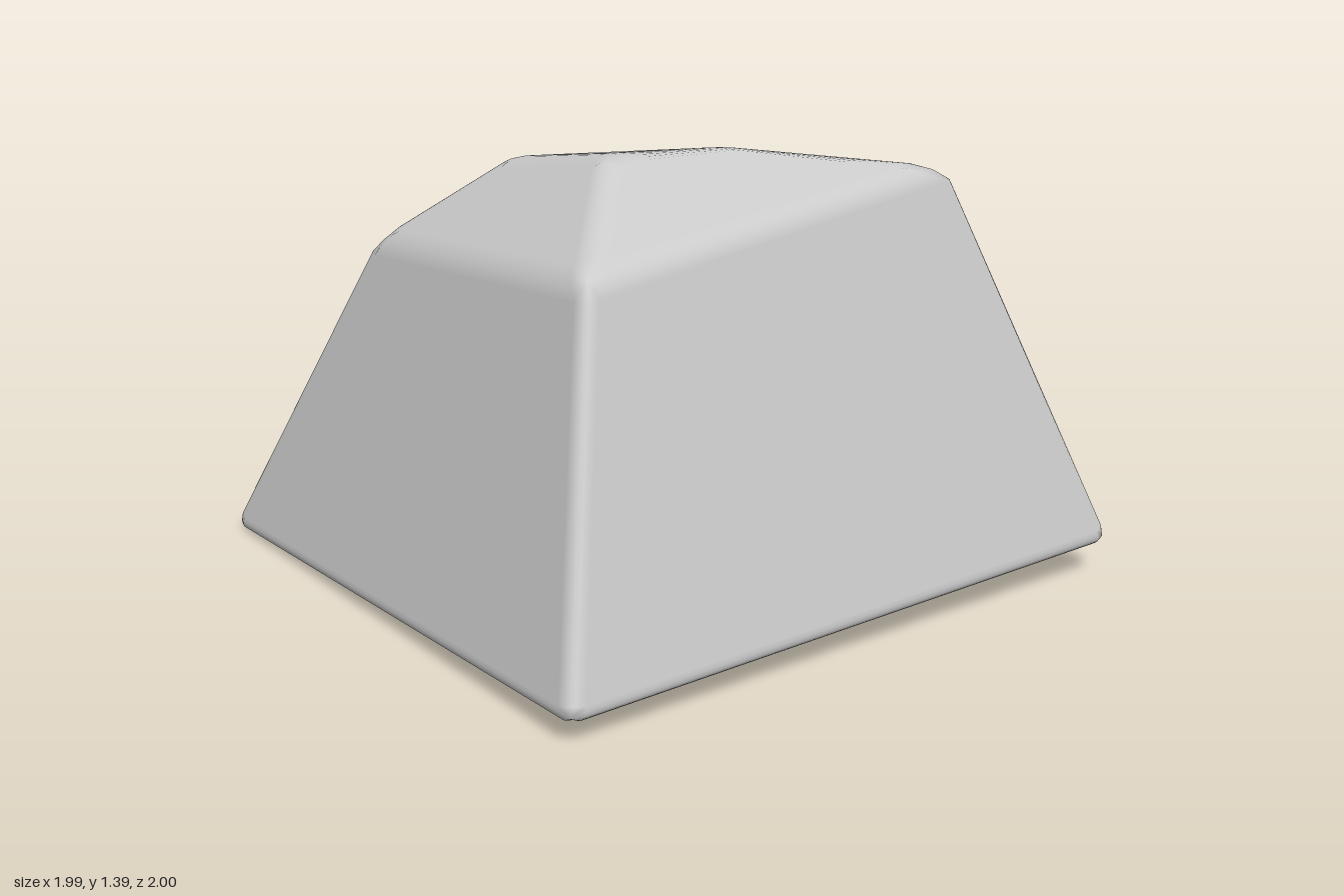
import * as THREE from 'three';

const V = (x, y, z) => new THREE.Vector3(x, y, z);

// Three rings of corners (base, shoulder, crown), each: front -x, front +x, back +x, back -x
const corners = [
  V(-0.978, 0.07, 0.93), V(1.01, 0.11, 1.014), V(0.952, 0.015, -1.005), V(-1.008, -0.003, -1.014),
  V(-0.793, 1.168, 0.757), V(0.632, 1.28, 0.603), V(0.365, 0.873, -0.502), V(-0.73, 1.045, -0.45),
  V(-0.46, 1.403, 0.39), V(0.0, 1.363, 0.335), V(0.0, 1.268, -0.09), V(-0.463, 1.32, -0.11),
];
const WIDTH = 0.05; // bevel width
const STEPS = 6; // bevel segments

// Quads wound outwards: underside, two bands of sides, crown
function makeFaces() {
  const loops = [[3, 2, 1, 0], [8, 9, 10, 11]];
  for (let r = 0; r < 8; r += 4) {
    for (let i = 0; i < 4; i++) {
      const j = (i + 1) % 4;
      loops.push([r + i, r + j, r + 4 + j, r + 4 + i]);
    }
  }
  return loops.map((loop) => {
    const [a, b, c, d] = loop.map((i) => corners[i]);
    // Fold the slightly twisted panels along the second diagonal unless the first is clearly shorter
    if (a.distanceTo(c) > 0.95 * b.distanceTo(d)) loop.push(loop.shift());
    const normal = c.clone().sub(a).cross(d.clone().sub(b)).normalize();
    const inset = {};
    loop.forEach((v, i) => {
      const p = corners[v];
      const e1 = corners[loop[(i + 1) % 4]].clone().sub(p).normalize();
      const e2 = corners[loop[(i + 3) % 4]].clone().sub(p).normalize();
      inset[v] = p.clone().addScaledVector(e1.clone().add(e2), WIDTH / Math.sin(e1.angleTo(e2)));
    });
    return { loop, normal, inset };
  });
}

function bevelledRock() {
  const faces = makeFaces();
  const pos = [], nor = [];
  const tri = (...pts) => pts.forEach(({ p, n }) => { pos.push(...p); nor.push(...n); });
  const quad = (a, b, c, d) => { tri(a, b, c); tri(a, c, d); };

  // Face lying to the left of each directed edge
  const leftOf = {};
  for (const f of faces) f.loop.forEach((v, i) => { leftOf[v + '>' + f.loop[(i + 1) % 4]] = f; });

  // Rounded cross-section of edge v-w near v, running from its left face to its right face
  const arc = (v, w) => {
    const f = leftOf[v + '>' + w], g = leftOf[w + '>' + v];
    const a = f.inset[v], b = g.inset[v], origin = corners[v];
    const dir = corners[w].clone().sub(origin).normalize();
    const along = a.clone().add(b).multiplyScalar(0.5).sub(origin).dot(dir);
    const curve = new THREE.QuadraticBezierCurve3(a, origin.clone().addScaledVector(dir, along), b);
    return Array.from({ length: STEPS + 1 }, (_, k) => ({
      p: curve.getPoint(k / STEPS),
      n: f.normal.clone().lerp(g.normal, k / STEPS).normalize(),
    }));
  };

  // Flat panels
  for (const f of faces) quad(...f.loop.map((v) => ({ p: f.inset[v], n: f.normal })));

  // Rounded edges, collecting the arcs that surround each corner
  const around = corners.map(() => []);
  for (const key of Object.keys(leftOf)) {
    const [v, w] = key.split('>').map(Number);
    const start = arc(v, w);
    around[v].push(start);
    if (v > w) continue;
    const end = arc(w, v).reverse();
    for (let k = 0; k < STEPS; k++) quad(start[k], start[k + 1], end[k + 1], end[k]);
  }

  // Rounded corners
  around.forEach((arcs, v) => {
    const mid = { p: V(0, 0, 0), n: V(0, 0, 0) };
    for (const a of arcs) {
      mid.p.addScaledVector(a[STEPS / 2].p, 1 / arcs.length);
      mid.n.add(a[STEPS / 2].n);
    }
    mid.p.lerp(corners[v], 0.25);
    mid.n.normalize();
    for (const a of arcs) for (let k = 0; k < STEPS; k++) tri(mid, a[k + 1], a[k]);
  });

  const geo = new THREE.BufferGeometry();
  geo.setAttribute('position', new THREE.Float32BufferAttribute(pos, 3));
  geo.setAttribute('normal', new THREE.Float32BufferAttribute(nor, 3));
  return geo;
}

export function createModel() {
  const group = new THREE.Group();
  group.name = 'rock';
  const rock = new THREE.Mesh(bevelledRock(), new THREE.MeshStandardMaterial({ color: 0xcccccc }));
  rock.name = 'boulder';
  group.add(rock);
  return group;
}
